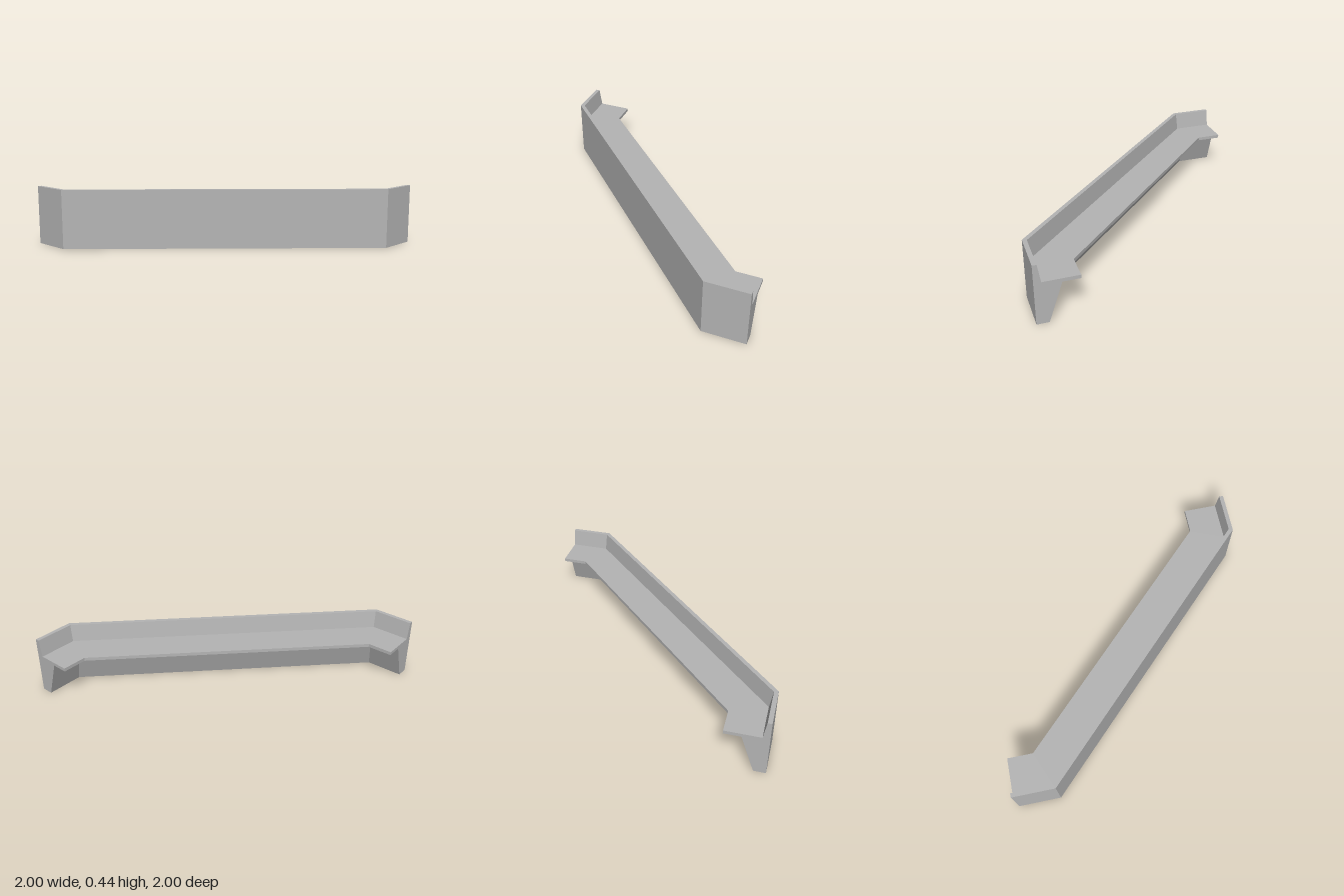
import * as THREE from 'three';

// Cross-section as (inset from the outer face, height): parapet, floor slab, sloped base
const SECTION = [
  [0, 0], [0, 0.44], [0.03, 0.44], [0.05, 0.31],
  [0.3, 0.31], [0.3, 0.285], [0.18, 0.285], [0.085, 0],
];

// Plan stations: outer x, z, then the inward direction (mitred at the two bends)
const MITRE = Math.tan(Math.PI / 8);
const STATIONS = [
  [-1, 1, 0, -1],
  [-0.69, 1, -MITRE, -1],
  [1, -0.69, -1, -MITRE],
  [1, -1, -1, 0],
];

export function createModel() {
  const group = new THREE.Group();
  group.name = 'cornerWalkway';

  const grey = new THREE.MeshStandardMaterial({ color: 0xb4b4b4 });
  grey.name = 'stone grey';

  // Extrude one step per stretch, then bend every step onto its plan station
  const shape = new THREE.Shape(SECTION.map(([d, y]) => new THREE.Vector2(d, y)));
  const steps = STATIONS.length - 1;
  const geometry = new THREE.ExtrudeGeometry(shape, { depth: steps, steps, bevelEnabled: false });
  const position = geometry.attributes.position;
  for (let i = 0; i < position.count; i++) {
    const inset = position.getX(i);
    const [x, z, inX, inZ] = STATIONS[Math.round(position.getZ(i))];
    position.setXYZ(i, x + inset * inX, position.getY(i), z + inset * inZ);
  }
  geometry.clearGroups();
  geometry.computeVertexNormals();

  const walkway = new THREE.Mesh(geometry, grey);
  walkway.name = 'parapetAndFloor';
  group.add(walkway);
  return group;
}
